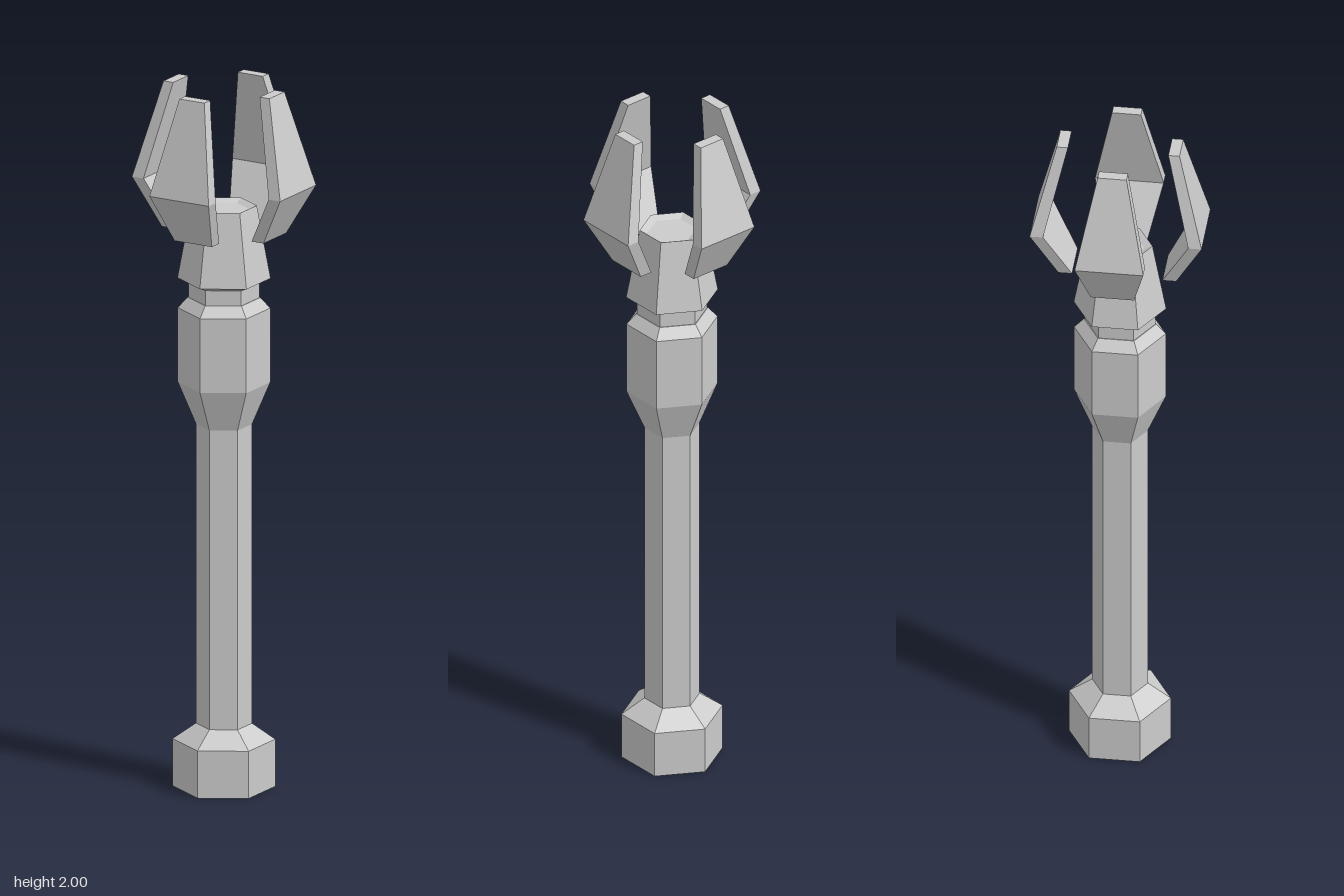
import * as THREE from 'three';

const material = new THREE.MeshStandardMaterial({ color: 0xcccccc, flatShading: true });

// Six-sided turned part; profile of [radius, y] from bottom to top
function hexPart(name, profile) {
  const points = profile.map(([r, y]) => new THREE.Vector2(r, y));
  const mesh = new THREE.Mesh(new THREE.LatheGeometry(points, 6), material);
  mesh.name = name;
  return mesh;
}

// Bent, tapered prong: a box whose three levels are placed by rule
function prongGeometry() {
  const levels = [
    { y: 1.59, inner: 0.125, outer: 0.163, half: 0.06 },
    { y: 1.73, inner: 0.201, outer: 0.238, half: 0.095 },
    { y: 2.0, inner: 0.139, outer: 0.17, half: 0.04 },
  ];
  const geometry = new THREE.BoxGeometry(2, 2, 2, 1, 2, 1);
  const pos = geometry.attributes.position;
  for (let i = 0; i < pos.count; i++) {
    const level = levels[Math.round(pos.getY(i)) + 1];
    const z = pos.getZ(i) > 0 ? level.outer : level.inner;
    pos.setXYZ(i, Math.sign(pos.getX(i)) * level.half, level.y, z);
  }
  geometry.computeVertexNormals();
  return geometry;
}

export function createModel() {
  const model = new THREE.Group();
  model.name = 'scepter';

  // Handle, from the foot up
  model.add(
    hexPart('pommel', [[0, 0], [0.141, 0], [0.141, 0.135], [0.077, 0.18], [0, 0.18]]),
    hexPart('shaft', [[0.077, 0.18], [0.077, 1.035]]),
    hexPart('collar', [[0.077, 1.035], [0.127, 1.155], [0.127, 1.367], [0.1, 1.397], [0, 1.397]]),
    hexPart('neck', [[0.098, 1.397], [0.098, 1.44]]),
    // Head with a shallow dished top
    hexPart('head', [[0, 1.44], [0.098, 1.44], [0.128, 1.452], [0.09, 1.66], [0.068, 1.65], [0, 1.65]]),
  );

  // Four prongs around the head
  const prongs = new THREE.Group();
  prongs.name = 'prongs';
  const geometry = prongGeometry();
  ['front', 'left', 'back', 'right'].forEach((side, i) => {
    const prong = new THREE.Mesh(geometry, material);
    prong.name = `${side}Prong`;
    prong.rotation.y = (i * Math.PI) / 2;
    prongs.add(prong);
  });
  model.add(prongs);
  return model;
}
